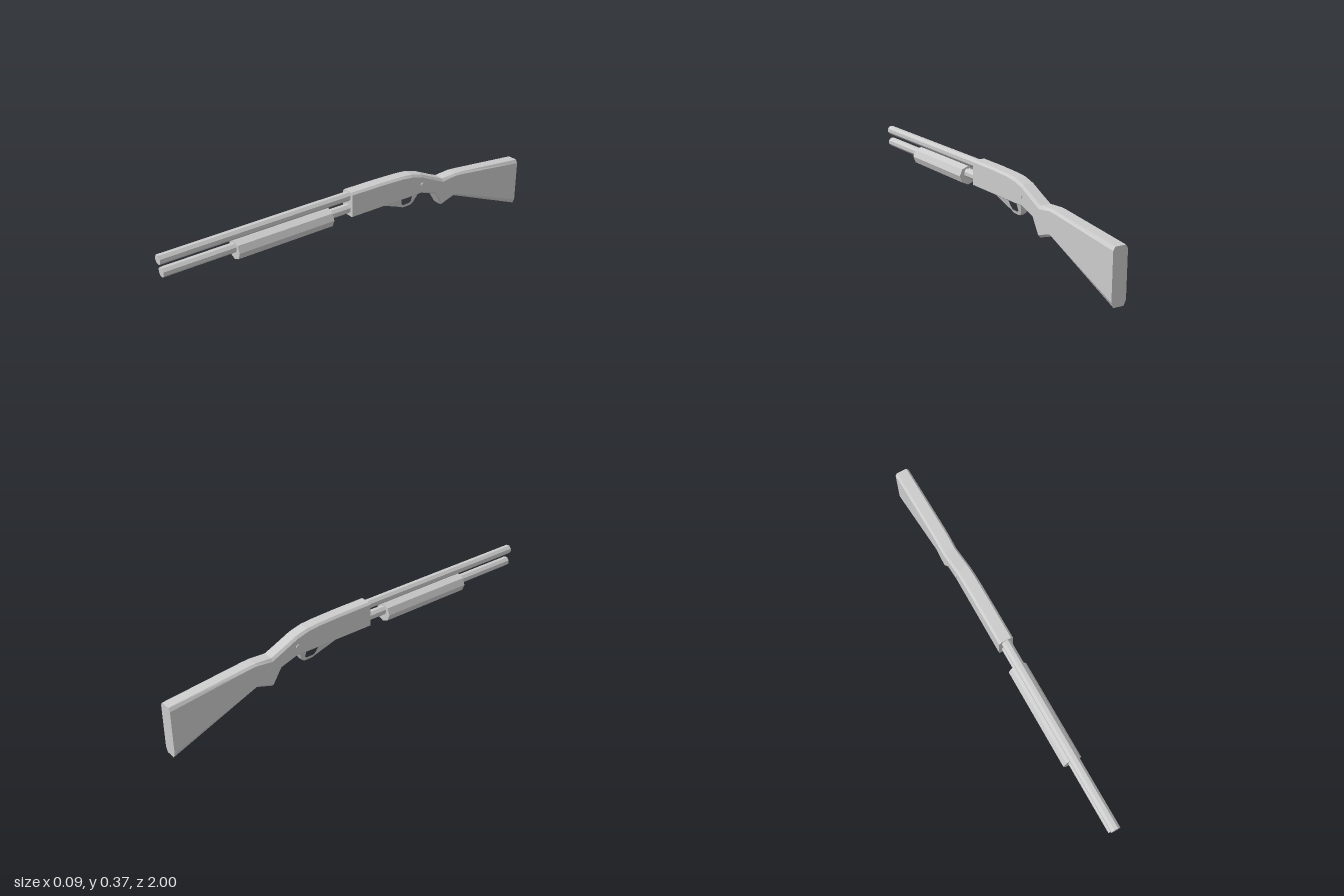
import * as THREE from 'three';

const material = new THREE.MeshStandardMaterial({ color: 0xcccccc, flatShading: true });

function part(name, geometry) {
  const mesh = new THREE.Mesh(geometry, material);
  mesh.name = name;
  return mesh;
}

// Eight-sided rod lying along z; turn rotates its facets
function rod(name, radius, y, z0, z1, turn) {
  const g = new THREE.CylinderGeometry(radius, radius, z1 - z0, 8);
  g.rotateY(turn).rotateX(Math.PI / 2).translate(0, y, (z0 + z1) / 2);
  return part(name, g);
}

// Chamfered cross-sections joined from front to back
function loft(sections) {
  const positions = [], index = [], n = 8, last = (sections.length - 1) * n;
  for (const [z, top, bottom, topCut, bottomCut] of sections) {
    const w = 0.035, t = w - Math.min(topCut, 0.01), b = w - Math.min(bottomCut, 0.011);
    const ring = [
      [-b, bottom], [b, bottom], [w, bottom + bottomCut], [w, top - topCut],
      [t, top], [-t, top], [-w, top - topCut], [-w, bottom + bottomCut],
    ];
    for (const [x, y] of ring) positions.push(x, y, z);
  }
  for (let s = 0; s < last; s += n) {
    for (let j = 0; j < n; j++) {
      const k = (j + 1) % n, a = s + j, b = s + k;
      index.push(a, a + n, b, b, a + n, b + n);
    }
  }
  for (let j = 1; j < n - 1; j++) {
    index.push(0, j, j + 1, last, last + j + 1, last + j);
  }
  const indexed = new THREE.BufferGeometry();
  indexed.setAttribute('position', new THREE.Float32BufferAttribute(positions, 3));
  indexed.setIndex(index);
  const g = indexed.toNonIndexed();
  g.computeVertexNormals();
  return g;
}

// Side outline with an opening, narrowing towards its lower edge
function triggerGuardGeometry() {
  const points = (list) => list.map(([z, y]) => new THREE.Vector2(z, y));
  const shape = new THREE.Shape(points([
    [-0.13, 0.256], [-0.13, 0.25], [-0.245, 0.202], [-0.265, 0.192],
    [-0.308, 0.192], [-0.325, 0.205], [-0.347, 0.256],
  ]));
  shape.holes.push(new THREE.Path(points([
    [-0.241, 0.252], [-0.249, 0.222], [-0.26, 0.207],
    [-0.298, 0.207], [-0.308, 0.216], [-0.308, 0.252],
  ])));
  const g = new THREE.ExtrudeGeometry(shape, { depth: 2, bevelEnabled: false });
  g.translate(0, 0, -1).rotateY(-Math.PI / 2);
  const p = g.attributes.position;
  for (let i = 0; i < p.count; i++) {
    const up = (p.getY(i) - 0.192) / 0.064;
    p.setX(i, p.getX(i) * THREE.MathUtils.lerp(0.009, 0.028, up));
  }
  g.computeVertexNormals();
  return g;
}

export function createModel() {
  const model = new THREE.Group();
  model.name = 'longGun';

  // Barrel, tube below it and sliding grip
  model.add(rod('barrel', 0.0228, 0.345, 0.03, 1, Math.PI / 8));
  model.add(rod('magazineTube', 0.0228, 0.283, 0.03, 0.99, Math.PI / 8));
  model.add(rod('slidingGrip', 0.045, 0.271, 0.16, 0.65, 0));

  // Receiver flowing into the stock: z, top, bottom, top chamfer, bottom chamfer
  model.add(part('receiverAndStock', loft([
    [0.053, 0.37, 0.25, 0.01, 0.003],
    [-0.11, 0.369, 0.25, 0.01, 0.003],
    [-0.24, 0.365, 0.25, 0.01, 0.003],
    [-0.3, 0.36, 0.25, 0.012, 0.003],
    [-0.36, 0.344, 0.25, 0.012, 0.005],
    [-0.45, 0.303, 0.216, 0.013, 0.01],
    [-0.494, 0.284, 0.144, 0.014, 0.012],
    [-0.575, 0.289, 0.17, 0.01, 0.012],
    [-0.61, 0.287, 0.156, 0.01, 0.013],
    [-1, 0.246, 0, 0.016, 0.023],
  ])));

  // Trigger guard and the small cross pin above it
  model.add(part('triggerGuard', triggerGuardGeometry()));
  const pin = new THREE.CylinderGeometry(0.01, 0.01, 0.08, 6);
  pin.rotateZ(Math.PI / 2).translate(0, 0.295, -0.36);
  model.add(part('crossPin', pin));

  return model;
}
